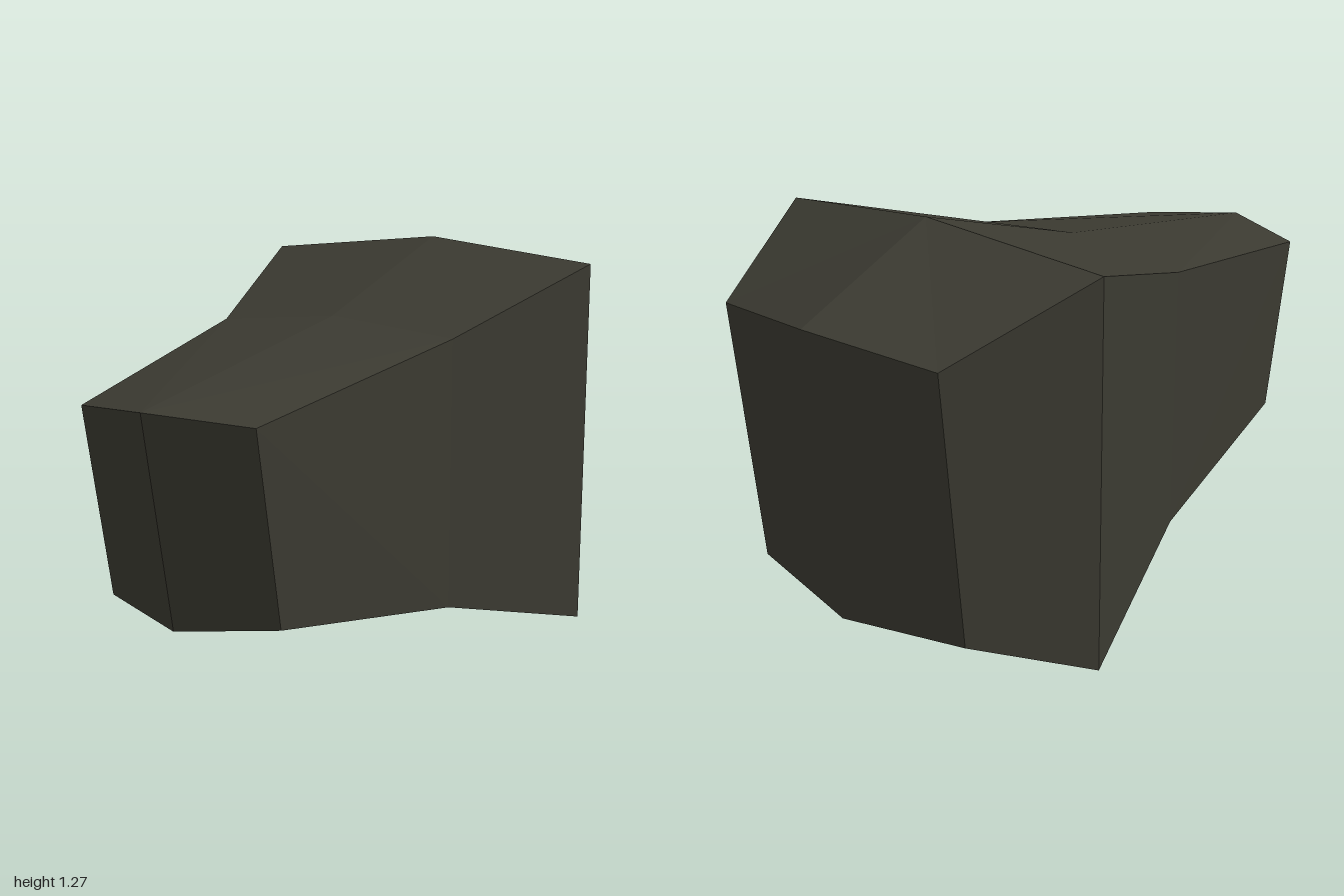
import * as THREE from 'three';

// Each station, front to back: half width, then [y, z] of
// top centre, top side, bottom side and bottom centre
const STATIONS = [
  [0.283, [0.945, 1.0], [0.918, 0.9], [0.36, 0.8], [0.332, 0.892]],
  [0.4, [1.082, 0.09], [1.042, 0.08], [0.232, 0.08], [0.2, 0.09]],
  [0.577, [1.272, -0.54], [1.215, -0.5], [0.06, -0.5], [0.003, -0.54]],
  [0.4, [1.08, -1.0], [1.04, -0.92], [0.232, -0.85], [0.2, -0.92]],
];

// Half shell on the given side (+1 or -1), mirrored with reversed winding
function halfShell(side, positions) {
  const rings = STATIONS.map(([w, ...pts]) =>
    pts.map(([y, z], i) => [i === 1 || i === 2 ? side * w : 0, y, z]));
  const quad = (a, b, c, d) => {
    const tris = side > 0 ? [a, b, c, a, c, d] : [a, c, b, a, d, c];
    tris.forEach((p) => positions.push(...p));
  };
  // top, side and bottom panels
  for (let s = 0; s < rings.length - 1; s++) {
    const f = rings[s], b = rings[s + 1];
    for (let i = 0; i < 3; i++) quad(f[i], f[i + 1], b[i + 1], b[i]);
  }
  // end panels
  const f = rings[0], b = rings[rings.length - 1];
  quad(f[0], f[3], f[2], f[1]);
  quad(b[0], b[1], b[2], b[3]);
}

export function createModel() {
  const group = new THREE.Group();
  group.name = 'facetedBlock';

  const darkOlive = new THREE.MeshStandardMaterial({ color: 0x3b3a31 });
  darkOlive.name = 'darkOlive';
  darkOlive.flatShading = true;

  const positions = [];
  for (const side of [1, -1]) halfShell(side, positions);
  const geometry = new THREE.BufferGeometry();
  geometry.setAttribute('position', new THREE.Float32BufferAttribute(positions, 3));
  geometry.computeVertexNormals();

  const body = new THREE.Mesh(geometry, darkOlive);
  body.name = 'body';
  group.add(body);
  return group;
}
